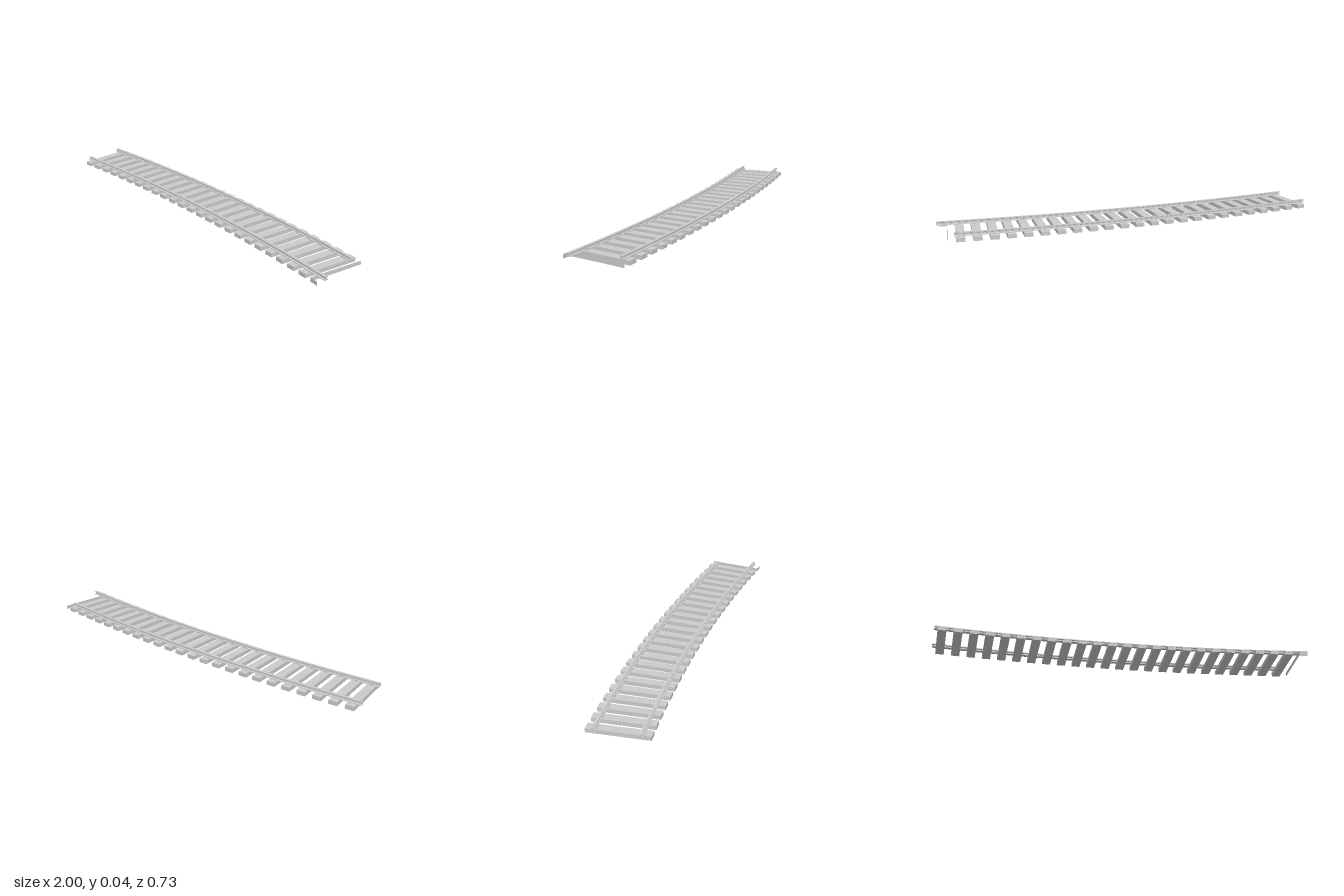
import * as THREE from 'three';

const R = 9.2;                       // centreline radius, curving towards +z
const START = 0.1103, END = 0.3248;  // heading at the first and last tie
const CX = -0.947 - R * Math.sin(START);
const CZ = -0.2115 + R * Math.cos(START);
const TIES = 25, TIE_W = 0.045, TIE_L = 0.304, TIE_H = 0.021;
const GAUGE = 0.11;                  // rail offset from the centreline

const grey = new THREE.MeshStandardMaterial({ color: 0xcccccc });
const thin = new THREE.MeshStandardMaterial({ color: 0xcccccc, side: THREE.DoubleSide });

// Group whose +x runs along the track and +z points to the inside of the curve
function station(heading, name) {
  const g = new THREE.Group();
  g.name = name;
  g.position.set(CX + R * Math.sin(heading), 0, CZ - R * Math.cos(heading));
  g.rotation.y = -heading;
  return g;
}

function add(parent, geometry, name, x, y, z, material = grey) {
  const m = new THREE.Mesh(geometry, material);
  m.name = name;
  m.position.set(x, y, z);
  parent.add(m);
  return m;
}

// I-shaped rail section extruded straight, then bent round the curve
function makeRail(radius, x0, x1, name) {
  const half = [[0.0105, 0.021], [0.0105, 0.024], [0.003, 0.026],
    [0.003, 0.032], [0.0075, 0.034], [0.0075, 0.039]];
  const outline = [...half, ...half.map(([x, y]) => [-x, y]).reverse()];
  const shape = new THREE.Shape(outline.map(([x, y]) => new THREE.Vector2(x, y)));
  const geo = new THREE.ExtrudeGeometry(shape, { depth: 1, steps: 24, bevelEnabled: false });
  const a0 = Math.asin((x0 - CX) / radius), a1 = Math.asin((x1 - CX) / radius);
  const p = geo.attributes.position;
  for (let i = 0; i < p.count; i++) {
    const a = a0 + (a1 - a0) * p.getZ(i), r = radius + p.getX(i);
    p.setXYZ(i, CX + r * Math.sin(a), p.getY(i), CZ - r * Math.cos(a));
  }
  geo.computeVertexNormals();
  const mesh = new THREE.Mesh(geo, grey);
  mesh.name = name;
  return mesh;
}

export function createModel() {
  const model = new THREE.Group();
  model.name = 'curvedTrack';

  // Cross ties with small rail clips
  const tieGeo = new THREE.BoxGeometry(TIE_W, TIE_H, TIE_L);
  const clipGeo = new THREE.BoxGeometry(0.014, 0.007, 0.007);
  for (let i = 0; i < TIES - 1; i++) {
    const s = station(START + (END - START) * i / (TIES - 1), 'tie' + (i + 1));
    add(s, tieGeo, 'sleeper', 0, TIE_H / 2, 0);
    for (const side of [-1, 1]) add(s, clipGeo, 'railClip', 0, TIE_H + 0.0035, side * (GAUGE - 0.008));
    model.add(s);
  }

  // Open end tie: one long wall and one end wall
  const last = station(END, 'openEndTie');
  const wall = add(last, new THREE.PlaneGeometry(TIE_L, TIE_H), 'sideWall', -TIE_W / 2, TIE_H / 2, 0, thin);
  wall.rotation.y = Math.PI / 2;
  const end = add(last, new THREE.PlaneGeometry(TIE_W, TIE_H), 'endWall', 0, TIE_H / 2, TIE_L / 2, thin);
  end.rotation.y = Math.PI;
  model.add(last);

  // Rails
  model.add(makeRail(R + GAUGE, -0.978, 0.96, 'outerRail'));
  model.add(makeRail(R - GAUGE, -0.999, 0.974, 'innerRail'));
  return model;
}
